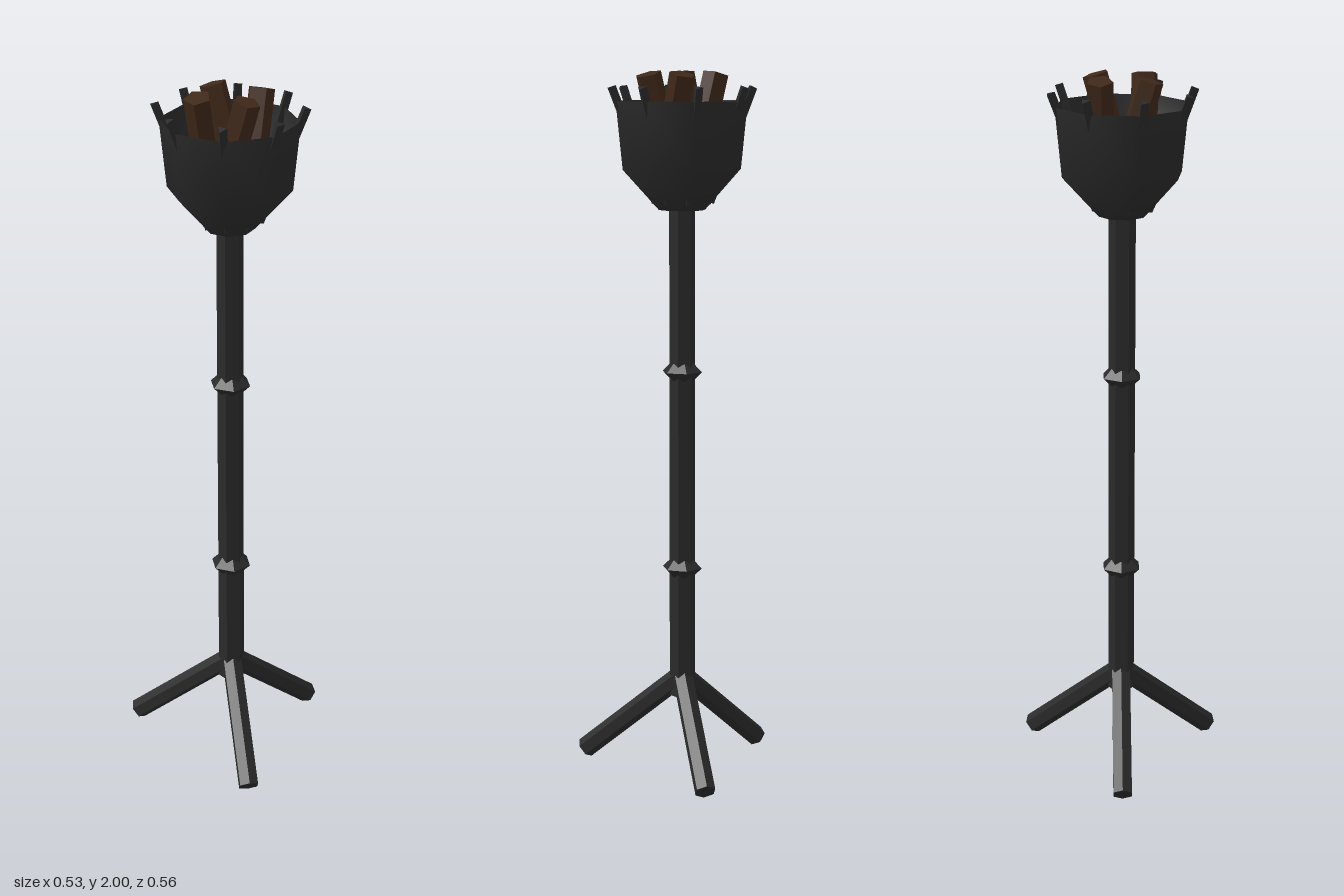
import * as THREE from 'three';

const iron = new THREE.MeshStandardMaterial({ color: 0x2a2a2a, side: THREE.DoubleSide });
iron.name = 'dark iron';
const wood = new THREE.MeshStandardMaterial({ color: 0x3f2819 });
wood.name = 'charred wood';

// Faceted normals without needing a second material
function faceted(geometry) {
  const flat = geometry.toNonIndexed();
  flat.computeVertexNormals();
  return flat;
}

function addMesh(parent, name, geometry, material) {
  const mesh = new THREE.Mesh(geometry, material);
  mesh.name = name;
  parent.add(mesh);
  return mesh;
}

// Straight prism between two points; turn spins its cross-section
function addRod(parent, name, from, to, radius, sides, turn, material) {
  const dir = to.clone().sub(from);
  const geometry = new THREE.CylinderGeometry(radius, radius, dir.length(), sides);
  geometry.rotateY(turn);
  const rod = addMesh(parent, name, faceted(geometry), material);
  rod.position.copy(from).add(to).multiplyScalar(0.5);
  rod.quaternion.setFromUnitVectors(new THREE.Vector3(0, 1, 0), dir.normalize());
  return rod;
}

const polar = (r, y, a) => new THREE.Vector3(r * Math.cos(a), y, r * Math.sin(a));

export function createModel() {
  const model = new THREE.Group();
  model.name = 'standingBrazier';
  const body = new THREE.Group();
  body.name = 'brazier';
  body.position.x = -0.055;
  model.add(body);

  // Six-sided pole
  addRod(body, 'pole', new THREE.Vector3(0, 0.215, 0), new THREE.Vector3(0, 1.62, 0), 0.037, 6, 0, iron);

  // Two collars on the pole
  for (const y of [0.593, 1.16]) {
    const collar = new THREE.TorusGeometry(0.033, 0.025, 4, 6);
    collar.rotateX(Math.PI / 2);
    addMesh(body, 'collar', faceted(collar), iron).position.y = y;
  }

  // Tripod: each leg is built along +x, then swung round the pole
  for (let i = 0; i < 3; i++) {
    const pivot = new THREE.Group();
    pivot.name = 'leg';
    pivot.rotation.y = (i * Math.PI * 2) / 3;
    body.add(pivot);
    addRod(pivot, 'legBar', new THREE.Vector3(0.005, 0.27, 0), new THREE.Vector3(0.301, 0.023, 0),
      0.03, 6, Math.PI / 2, iron);
  }

  // Eight-sided open bowl, smooth
  const profile = [[0.066, 1.615], [0.168, 1.727], [0.187, 1.915]].map(([r, y]) => new THREE.Vector2(r, y));
  addMesh(body, 'bowl', new THREE.LatheGeometry(profile, 8), iron);

  // Slanted three-sided spikes through the bowl
  for (let i = 0; i < 8; i++) {
    const a = (i * Math.PI) / 4;
    addRod(body, 'spike', polar(0.077, 1.635, a), polar(0.2, 1.953, a), 0.0145, 3, Math.PI, iron);
  }

  // Four leaning logs in a pinwheel
  for (let i = 0; i < 4; i++) {
    const pivot = new THREE.Group();
    pivot.name = 'log';
    pivot.rotation.y = (i * Math.PI) / 2;
    body.add(pivot);
    addRod(pivot, 'logBody', new THREE.Vector3(-0.054, 1.7, 0.018), new THREE.Vector3(-0.018, 1.988, 0.092),
      0.037, 5, Math.PI, wood);
  }

  return model;
}
